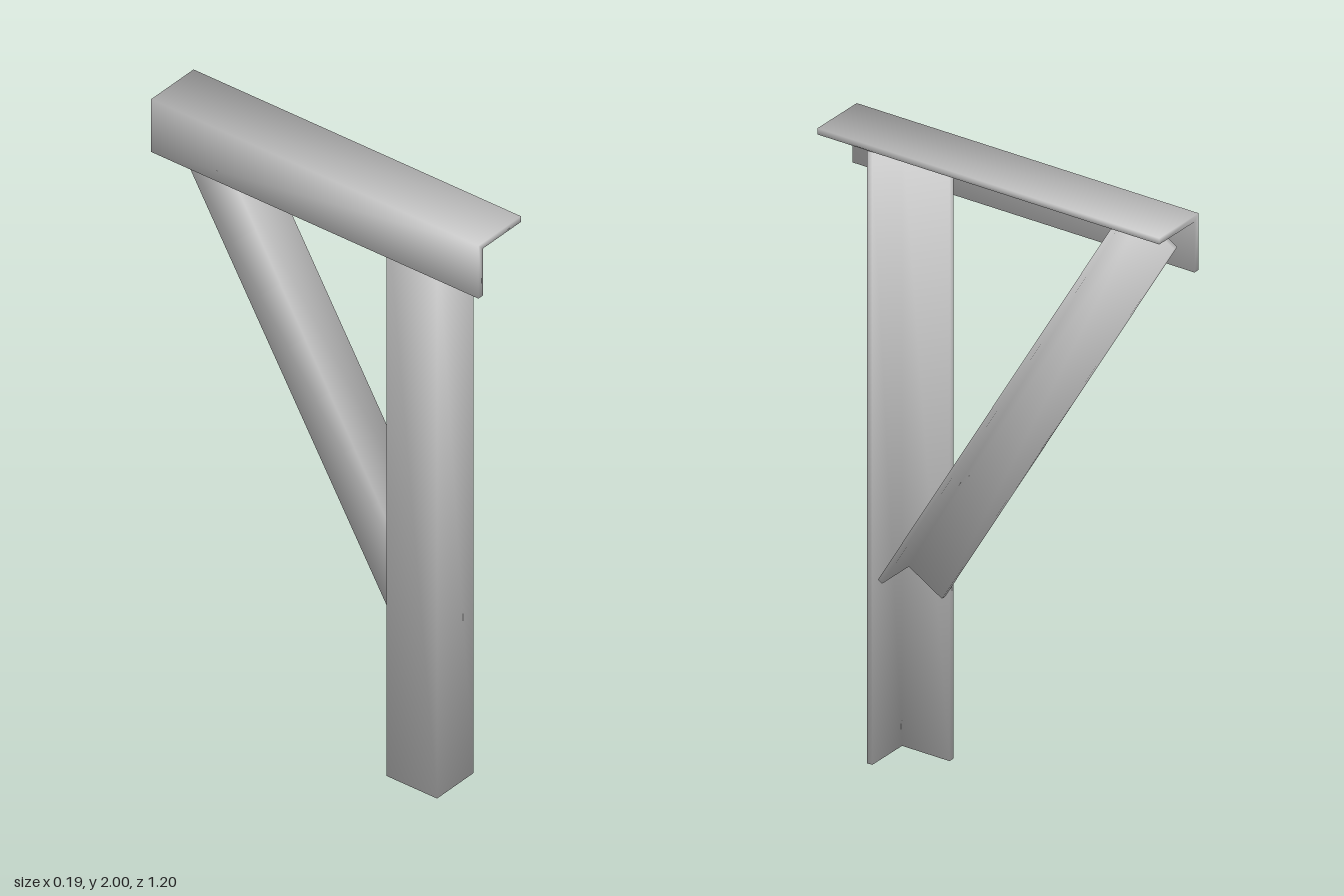
import * as THREE from 'three';
import { mergeVertices } from 'three/addons/utils/BufferGeometryUtils.js';

const material = new THREE.MeshStandardMaterial({ color: 0xcccccc });

// Weld the corners and blend the normals around them, weighted by face angle
function smoothByAngle(source) {
  source.deleteAttribute('normal');
  source.deleteAttribute('uv');
  const geometry = mergeVertices(source, 1e-4);
  geometry.clearGroups();
  const { position } = geometry.attributes;
  const index = geometry.index;
  const normals = Array.from({ length: position.count }, () => new THREE.Vector3());
  for (let i = 0; i < index.count; i += 3) {
    const ids = [0, 1, 2].map((k) => index.getX(i + k));
    const points = ids.map((id) => new THREE.Vector3().fromBufferAttribute(position, id));
    const faceNormal = new THREE.Triangle(...points).getNormal(new THREE.Vector3());
    ids.forEach((id, k) => {
      const a = points[(k + 1) % 3].clone().sub(points[k]);
      const b = points[(k + 2) % 3].clone().sub(points[k]);
      normals[id].addScaledVector(faceNormal, a.angleTo(b));
    });
  }
  const values = normals.flatMap((n) => n.normalize().toArray());
  geometry.setAttribute('normal', new THREE.Float32BufferAttribute(values, 3));
  return geometry;
}

// L-section bar: its outer corner runs from start to end (in the x = x0 plane),
// one flange spreads along +x, the other hangs square to the bar's axis
function angleBar(name, x0, start, end, spread, drop, t) {
  const shape = new THREE.Shape([
    [0, 0], [spread, 0], [spread, t], [t, t], [t, drop], [0, drop],
  ].map(([x, y]) => new THREE.Vector2(x, y)));
  const dy = end.y - start.y;
  const dz = end.z - start.z;
  const geometry = new THREE.ExtrudeGeometry(shape, {
    depth: Math.hypot(dy, dz),
    bevelEnabled: false,
  });
  const mesh = new THREE.Mesh(smoothByAngle(geometry), material);
  mesh.name = name;
  mesh.position.set(x0, start.y, start.z);
  mesh.rotation.x = Math.atan2(-dy, dz);
  return mesh;
}

export function createModel() {
  const group = new THREE.Group();
  group.name = 'bracket';

  group.add(
    // horizontal rail carrying the load
    angleBar('topRail', -0.0975, { y: 2, z: 0.602 }, { y: 2, z: -0.602 }, 0.195, 0.183, 0.02),
    // upright, inside the rail's side flange
    angleBar('post', -0.0765, { y: 0, z: 0.433 }, { y: 1.98, z: 0.433 }, 0.167, 0.186, 0.019),
    // diagonal strut, nested inside the post's side flange
    angleBar('brace', -0.058, { y: 0.604, z: 0.393 }, { y: 1.972, z: -0.425 }, 0.15, 0.152, 0.017),
  );
  return group;
}
